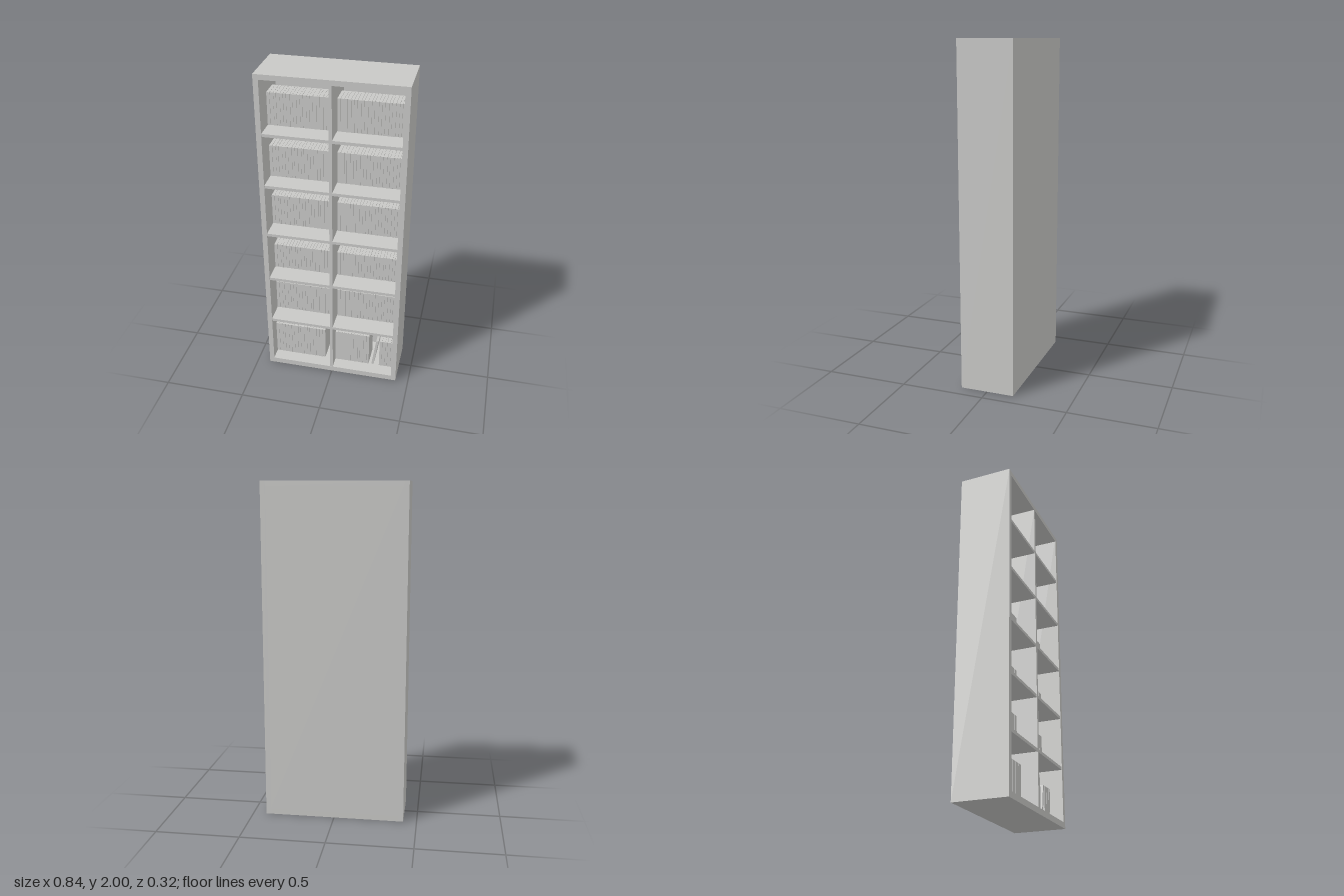
import * as THREE from 'three';

export function createModel() {
  const model = new THREE.Group();
  model.name = 'bookcase';
  const grey = new THREE.MeshStandardMaterial({ color: 0xc8c8c6 });
  grey.name = 'plain grey';

  // box given by its lower and upper bounds
  function box(name, x0, x1, y0, y1, z0, z1, parent = model) {
    const mesh = new THREE.Mesh(new THREE.BoxGeometry(x1 - x0, y1 - y0, z1 - z0), grey);
    mesh.position.set((x0 + x1) / 2, (y0 + y1) / 2, (z0 + z1) / 2);
    mesh.name = name;
    parent.add(mesh);
    return mesh;
  }

  const W = 0.42, D = 0.16, inner = 0.39, floor = 0.035, ceiling = 1.97;

  // outer case
  box('rightSide', -W, -inner, 0, 2, -D, D);
  box('leftSide', inner, W, 0, 2, -D, D);
  box('topBoard', -inner, inner, ceiling, 2, -D, D);
  box('baseBoard', -inner, inner, 0, floor, -D, D);
  box('backPanel', -inner, inner, floor, ceiling, -D, -D + 0.02);

  // inner boards
  const shelfTops = [0.365, 0.688, 1.01, 1.335, 1.658];
  box('divider', -0.011, 0.007, floor, ceiling, -D + 0.02, D - 0.001);
  for (const y of shelfTops) box('shelf', -inner, inner, y - 0.018, y, -D + 0.02, D - 0.002);

  // a run of thin upright books with narrow gaps and slightly uneven widths
  function books(x0, x1, y0, y1, z0, z1, count) {
    const row = new THREE.Group();
    row.name = 'bookRow';
    const widths = Array.from({ length: count }, (_, i) => 1 + 0.2 * Math.sin(i * 2.4));
    const total = widths.reduce((a, b) => a + b, 0);
    let x = x0;
    widths.forEach((w, i) => {
      const next = x + (w / total) * (x1 - x0);
      box('book', x, next - 0.0012, y0, y1, z0, z1 - 0.001 * (i % 2), row);
      x = next;
    });
    model.add(row);
  }

  // upper five rows, both bays
  const bookTops = [0.57, 0.855, 1.205, 1.53, 1.852];
  shelfTops.forEach((y, i) => {
    books(-inner, -0.012, y, bookTops[i], -0.08, 0.035, 20);
    books(0.009, 0.389, y, bookTops[i], -0.08, 0.035, 20);
  });

  // bottom row with a gap and one leaning book
  books(-inner, -0.06, floor, 0.265, -0.06, 0.08, 16);
  books(0.008, 0.23, floor, 0.265, -0.06, 0.08, 11);
  books(0.297, 0.389, floor, 0.236, -0.06, 0.08, 5);
  const leaning = box('leaningBook', 0.261, 0.276, floor + 0.002, 0.235, -0.06, 0.08);
  leaning.rotation.z = -0.14;

  return model;
}
